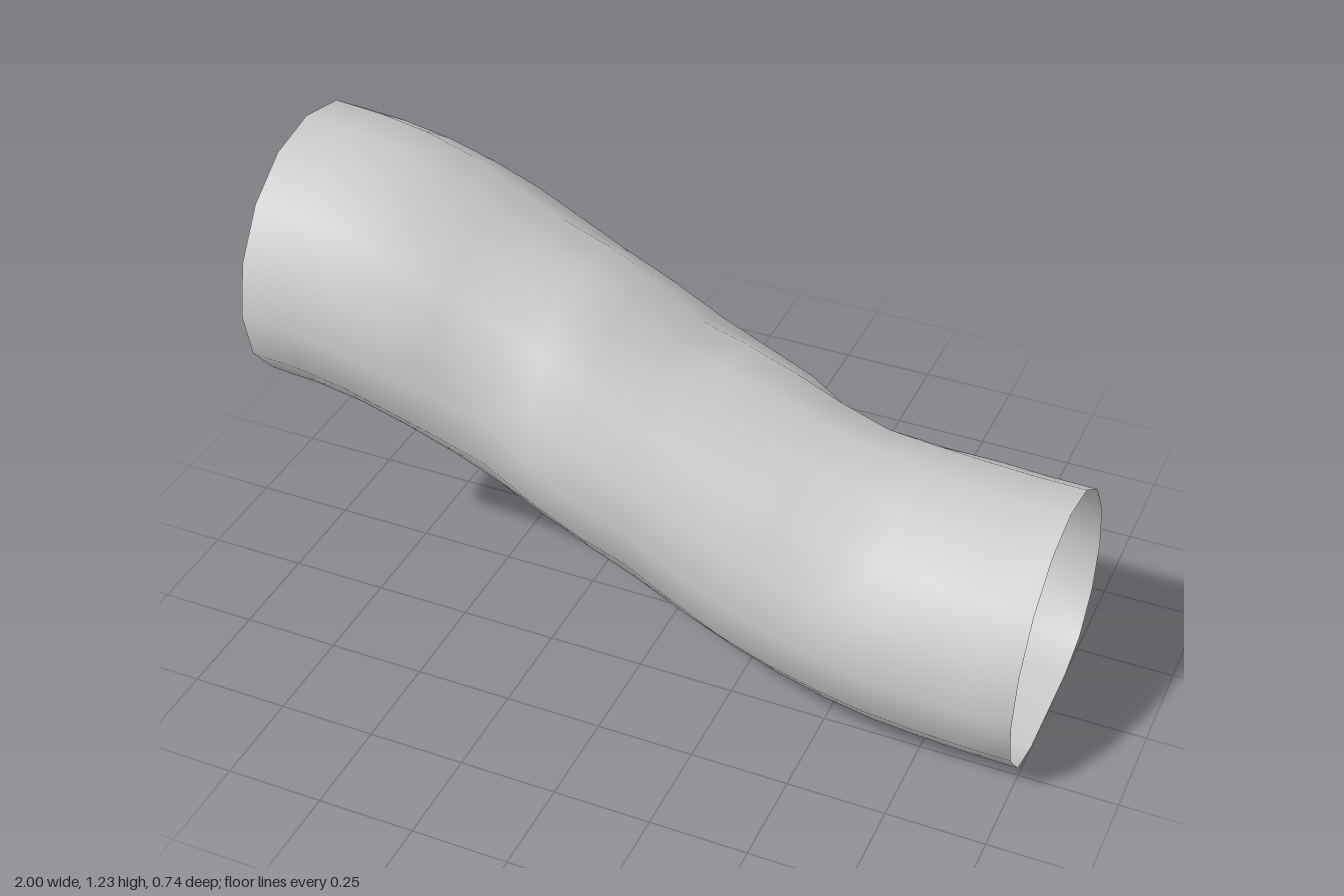
import * as THREE from 'three';

const STEPS = 16, MID = 0.313;
// half of the cross-section from crest to flat base: [z, height above the base]
const HALF = [[0, 0.623], [0.142, 0.594], [0.26, 0.513], [0.342, 0.392],
  [0.37, 0.257], [0.342, 0.13], [0.26, 0.035], [0.142, 0.002]];
// full ring: front half downwards, then the mirrored back half upwards
const RING = [...HALF, ...HALF.slice(1).reverse().map(([z, y]) => [-z, y])];
// height of the underside along x, from -1 to 1
const FLOOR = [0.612, 0.602, 0.58, 0.543, 0.496, 0.438, 0.375, 0.31, 0.245,
  0.184, 0.13, 0.083, 0.046, 0.021, 0.009, 0.002, 0];
// dents: x, angle from crest (front positive), depth, spread in x, spread in angle
const DENTS = [
  [-0.38, 1.4, 0.065, 0.13, 0.6],
  [-0.42, 0.1, 0.045, 0.14, 0.6],
  [0.02, 0, 0.045, 0.09, 0.6],
  [0.02, 2.0, 0.02, 0.13, 0.4],
  [0.4, -1.6, 0.045, 0.1, 0.5],
  [0.47, -0.85, 0.055, 0.12, 0.32],
  [0.55, 0.95, 0.035, 0.13, 0.35],
  [-0.28, -1.5, 0.025, 0.12, 0.5],
  [0, -1.9, 0.015, 0.12, 0.4],
];

function dentAt(x, angle) {
  let sum = 0;
  for (const [dx, da, depth, sx, sa] of DENTS) {
    const turn = Math.atan2(Math.sin(angle - da), Math.cos(angle - da));
    sum += depth * Math.exp(-(((x - dx) / sx) ** 2) - (turn / sa) ** 2);
  }
  return sum;
}

function createPipeGeometry() {
  const positions = [], indices = [], sides = RING.length;
  // upright rings that follow the S-shaped run
  for (let i = 0; i <= STEPS; i++) {
    const x = -1 + (2 * i) / STEPS;
    for (const [z, y] of RING) {
      const angle = Math.atan2(z, y - MID);
      const inset = dentAt(x, angle);
      positions.push(x, FLOOR[i] + y - Math.cos(angle) * inset, z - Math.sin(angle) * inset);
    }
  }
  for (let i = 0; i < STEPS; i++) {
    for (let j = 0; j < sides; j++) {
      const a = i * sides + j, b = i * sides + ((j + 1) % sides);
      const c = a + sides, d = b + sides;
      indices.push(a, b, c, b, d, c);
    }
  }
  const geometry = new THREE.BufferGeometry();
  geometry.setAttribute('position', new THREE.Float32BufferAttribute(positions, 3));
  geometry.setIndex(indices);
  geometry.computeVertexNormals();
  return geometry;
}

export function createModel() {
  const group = new THREE.Group();
  group.name = 'bentPipe';
  // open, thin-walled pipe
  const pipe = new THREE.Mesh(
    createPipeGeometry(),
    new THREE.MeshStandardMaterial({ color: 0xcccccc, side: THREE.DoubleSide })
  );
  pipe.name = 'pipeWall';
  group.add(pipe);
  return group;
}
